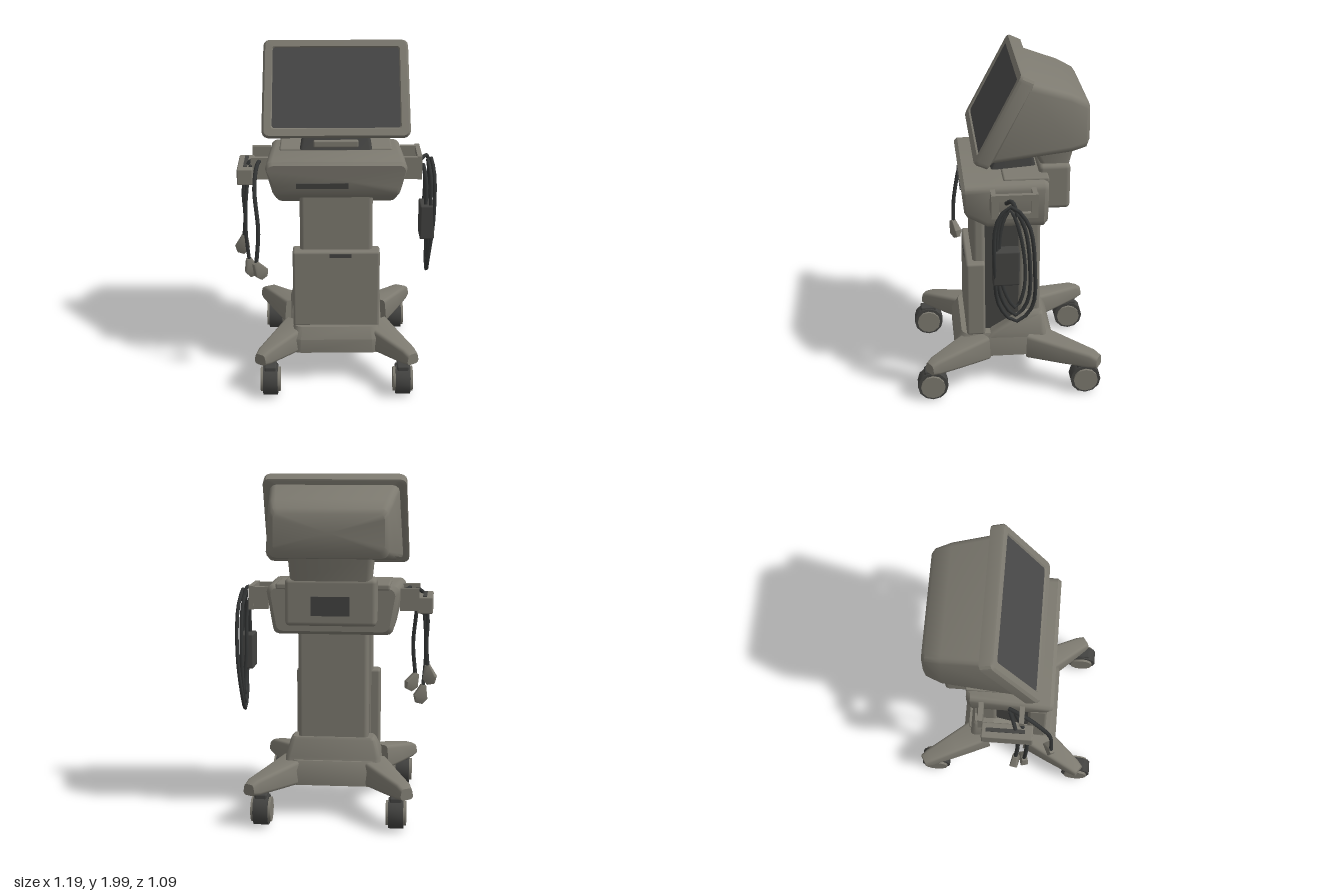
import * as THREE from 'three';
import { toCreasedNormals } from 'three/addons/utils/BufferGeometryUtils.js';
import { RoundedBoxGeometry } from 'three/addons/geometries/RoundedBoxGeometry.js';

const mat = (name, color, side = THREE.FrontSide) => {
  const m = new THREE.MeshStandardMaterial({ color, side });
  m.name = name;
  return m;
};
const shell = mat('warm grey shell', 0x7d7a70);
const glass = mat('screen grey', 0x484848);
const dark = mat('dark plastic', 0x434341);
const rubber = mat('cable rubber', 0x343636);

// Rounded ring: half widths w0, w1 at two edge points (z0, y0) and (z1, y1), corner radius r
function ring([w0, w1, z0, y0, z1, y1, r]) {
  const len = Math.hypot(z1 - z0, y1 - y0), pts = [];
  const corners = [[1, 0, -90], [1, 1, 0], [-1, 1, 90], [-1, 0, 180]];
  for (const [sx, top, start] of corners) {
    for (let k = 0; k <= 3; k++) {
      const a = THREE.MathUtils.degToRad(start + k * 30);
      const t = (top ? len - r : r) / len + (Math.sin(a) * r) / len;
      const x = sx * ((top ? w1 : w0) - r) + Math.cos(a) * r;
      pts.push(new THREE.Vector3(x, y0 + (y1 - y0) * t, z0 + (z1 - z0) * t));
    }
  }
  return pts;
}

// Skin through rings, ordered back to front or bottom to top
function loft(sections, capStart = true, capEnd = true, crease = 0.6) {
  const rings = sections.map(ring), pos = [], n = 16;
  const tri = (...vs) => vs.forEach((v) => pos.push(v.x, v.y, v.z));
  for (let j = 0; j + 1 < rings.length; j++) {
    const A = rings[j], B = rings[j + 1];
    for (let i = 0; i < n; i++) {
      const k = (i + 1) % n;
      tri(A[i], A[k], B[k]);
      tri(A[i], B[k], B[i]);
    }
  }
  const cap = (R, flip) => {
    const c = R.reduce((s, v) => s.add(v), new THREE.Vector3()).divideScalar(n);
    for (let i = 0; i < n; i++) {
      const k = (i + 1) % n;
      if (flip) tri(c, R[k], R[i]); else tri(c, R[i], R[k]);
    }
  };
  if (capStart) cap(rings[0], true);
  if (capEnd) cap(rings[rings.length - 1], false);
  const g = new THREE.BufferGeometry();
  g.setAttribute('position', new THREE.Float32BufferAttribute(pos, 3));
  return toCreasedNormals(g, crease);
}

export function createModel() {
  const model = new THREE.Group();
  model.name = 'medicalCart';
  const add = (name, geo, m, x = 0, y = 0, z = 0) => {
    const mesh = new THREE.Mesh(geo, m);
    mesh.name = name;
    mesh.position.set(x, y, z);
    model.add(mesh);
    return mesh;
  };
  // Box given by its limits
  const box = (name, m, x0, x1, y0, y1, z0, z1, r = 0) => {
    const s = [x1 - x0, y1 - y0, z1 - z0];
    const geo = r ? new RoundedBoxGeometry(...s, 2, r) : new THREE.BoxGeometry(...s);
    return add(name, geo, m, (x0 + x1) / 2, (y0 + y1) / 2, (z0 + z1) / 2);
  };

  // Base plate and the raised collar behind the column
  add('basePlate', loft([
    [0.27, 0.27, 0.31, 0.195, -0.28, 0.195, 0.06],
    [0.27, 0.27, 0.31, 0.28, -0.28, 0.28, 0.06],
    [0.25, 0.25, 0.27, 0.345, -0.25, 0.335, 0.05],
  ]), shell);
  add('rearCollar', loft([
    [0.27, 0.28, 0.12, 0.32, -0.24, 0.32, 0.03],
    [0.27, 0.28, 0.09, 0.35, -0.23, 0.35, 0.03],
    [0.25, 0.25, -0.08, 0.455, -0.22, 0.455, 0.03],
    [0.235, 0.235, -0.09, 0.47, -0.21, 0.47, 0.02],
  ]), shell);

  // Four splayed legs with casters
  for (const s of [-1, 1]) {
    for (const [z0, x1, z1] of [[0.16, 0.435, 0.46], [-0.16, 0.44, -0.515]]) {
      const dx = x1 - 0.23, dz = z1 - z0, L = Math.hypot(dx, dz);
      const leg = add('leg', loft([
        [0.1, 0.09, 0, 0.195, 0, 0.34, 0.02],
        [0.075, 0.065, L * 0.5, 0.195, L * 0.5, 0.31, 0.02],
        [0.05, 0.045, L - 0.03, 0.195, L - 0.03, 0.285, 0.02],
        [0.04, 0.035, L + 0.015, 0.2, L + 0.015, 0.265, 0.02],
      ]), shell, s * 0.23, 0, z0);
      leg.rotation.y = Math.atan2(s * dx, dz);

      const cz = Math.sign(z1) * 0.455, cx = s * 0.385;
      const wheel = (name, r, w, m) => {
        const g = new THREE.CylinderGeometry(r, r, w, 12);
        g.rotateZ(Math.PI / 2);
        add(name, toCreasedNormals(g, 0.6), m, cx, 0.1, cz);
      };
      wheel('casterTyre', 0.09, 0.085, dark);
      wheel('casterHub', 0.072, 0.115, shell);
      box('casterBracket', dark, cx - 0.035, cx + 0.035, 0.13, 0.2, cz - 0.05, cz + 0.05, 0.01);
    }
  }

  // Lifting column: dark core between a front and a rear slab
  box('columnCore', dark, -0.19, 0.19, 0.33, 1.15, -0.1, 0.16);
  box('columnFront', shell, -0.212, 0.212, 0.33, 1.2, 0.125, 0.2, 0.025);
  box('columnRear', shell, -0.205, 0.205, 0.33, 1.15, -0.2, -0.07, 0.025);
  box('frontPanel', shell, -0.255, 0.255, 0.335, 0.81, 0.13, 0.24, 0.015);
  box('panelLatch', dark, -0.04, 0.09, 0.775, 0.797, 0.238, 0.243);

  // Console with its raised deck, rear housing and front slot
  add('console', loft([
    [0.33, 0.36, -0.225, 1.1, -0.225, 1.35, 0.04],
    [0.35, 0.385, -0.2, 1.08, -0.2, 1.365, 0.04],
    [0.355, 0.4, 0.12, 1.085, 0.12, 1.365, 0.04],
    [0.37, 0.405, 0.235, 1.155, 0.25, 1.362, 0.04],
    [0.35, 0.395, 0.25, 1.175, 0.27, 1.345, 0.035],
  ]), shell);
  box('consoleDeck', shell, -0.33, 0.33, 1.34, 1.378, -0.23, 0.03, 0.012);
  const slot = box('frontSlot', dark, -0.23, 0.07, 1.205, 1.238, 0.256, 0.262);
  slot.rotation.x = 0.12;
  box('rearHousing', shell, -0.26, 0.26, 1.15, 1.42, -0.36, -0.18, 0.025);
  box('rearPanel', dark, -0.11, 0.11, 1.21, 1.32, -0.364, -0.357);

  // Monitor neck
  add('neckFoot', loft([
    [0.21, 0.17, 0.09, 1.385, -0.17, 1.385, 0.02],
    [0.19, 0.17, 0.04, 1.51, -0.14, 1.51, 0.02],
  ]), dark);
  box('neckFrontBlock', shell, -0.13, 0.13, 1.4, 1.44, 0.06, 0.095, 0.008);
  add('neckRear', loft([
    [0.23, 0.23, -0.2, 1.4, -0.355, 1.4, 0.03],
    [0.24, 0.24, -0.12, 1.55, -0.39, 1.55, 0.03],
  ]), shell);

  // Monitor: rear shell, tilted bezel and recessed screen
  add('monitorShell', loft([
    [0.31, 0.31, -0.452, 1.58, -0.45, 1.79, 0.03],
    [0.335, 0.33, -0.435, 1.545, -0.43, 1.82, 0.04],
    [0.365, 0.35, -0.35, 1.53, -0.34, 1.865, 0.04],
    [0.39, 0.375, 0.1, 1.485, -0.13, 1.935, 0.04],
  ]), shell);
  add('monitorBezel', loft([
    [0.405, 0.395, 0.115, 1.475, -0.135, 1.955, 0.035],
    [0.425, 0.415, 0.13, 1.468, -0.135, 1.967, 0.035],
    [0.425, 0.415, 0.185, 1.49, -0.075, 1.995, 0.035],
    [0.413, 0.403, 0.198, 1.502, -0.06, 1.997, 0.03],
    [0.372, 0.367, 0.179, 1.538, -0.041, 1.965, 0.015],
    [0.365, 0.36, 0.166, 1.54, -0.048, 1.955, 0.015],
  ], true, false, 0.5), shell);
  add('screen', loft([[0.368, 0.363, 0.17, 1.536, -0.05, 1.963, 0.015]], false, true), glass);

  // Side brackets: open handle on the left, cable rail on the right
  for (const s of [-1, 1]) {
    for (const z of [-0.135, 0.097]) {
      box('bracketArm', shell, s * 0.44 - 0.055, s * 0.44 + 0.055, 1.215, 1.345, z - 0.014, z + 0.014);
    }
  }
  for (const [y0, y1] of [[1.21, 1.24], [1.315, 1.35]]) {
    box('handleRail', shell, 0.473, 0.5, y0, y1, -0.15, 0.11);
  }
  for (const z of [-0.135, 0.085]) box('handlePost', shell, 0.473, 0.5, 1.21, 1.35, z - 0.015, z + 0.025);
  box('cableRail', shell, -0.573, -0.482, 1.195, 1.292, -0.125, 0.165, 0.008);
  box('railInset', dark, -0.538, -0.515, 1.29, 1.296, -0.1, 0.12);

  const tube = (name, pts, r, m, closed = false) => {
    const curve = new THREE.CatmullRomCurve3(pts.map((p) => new THREE.Vector3(...p)), closed);
    add(name, new THREE.TubeGeometry(curve, 28, r, 6, closed), m);
  };

  // Coiled hose on the handle, with its control box
  for (const [x, top, bottom, zf, zb] of [
    [0.575, 1.31, 0.59, 0.1, -0.125],
    [0.555, 1.3, 0.63, 0.085, -0.1],
    [0.53, 1.27, 0.68, 0.07, -0.075],
  ]) {
    const xb = 0.55;
    tube('coiledHose', [
      [x - 0.015, top, 0.01], [x, top - 0.08, zf - 0.015], [x, 0.95, zf],
      [xb, bottom + 0.1, zf - 0.03], [xb, bottom, -0.02],
      [xb, bottom + 0.08, zb + 0.015], [x, 0.92, zb], [x, top - 0.1, zb + 0.04],
    ], 0.011, rubber, true);
  }
  tube('hoseLead', [[0.49, 1.3, 0.03], [0.53, 1.325, 0], [0.56, 1.25, -0.03]], 0.012, rubber);
  box('hoseControlBox', dark, 0.495, 0.58, 0.835, 1.045, -0.04, 0.11, 0.01);

  // Hanging sensor cables, each ending in a flared plug
  const cables = [
    { path: [[-0.4, 1.31, 0.02], [-0.45, 1.32, 0.12], [-0.47, 1.2, 0.21], [-0.45, 0.95, 0.27], [-0.465, 0.75, 0.28]], tilt: 0.5 },
    { path: [[-0.42, 1.3, 0.03], [-0.5, 1.31, 0.06], [-0.54, 1.15, 0.08], [-0.535, 0.98, 0.08], [-0.545, 0.84, 0.07]], tilt: -0.2 },
    { path: [[-0.42, 1.28, 0.06], [-0.49, 1.3, 0.1], [-0.52, 1.15, 0.13], [-0.53, 0.9, 0.13], [-0.515, 0.71, 0.12]], tilt: 0.25 },
  ];
  for (const { path, tilt } of cables) {
    tube('sensorCable', path, 0.012, rubber);
    const [x, y, z] = path[path.length - 1];
    const plug = add('sensorPlug', loft([
      [0.022, 0.022, 0.014, -0.1, -0.014, -0.1, 0.005],
      [0.042, 0.042, 0.024, -0.06, -0.024, -0.06, 0.008],
      [0.016, 0.016, 0.014, 0.015, -0.014, 0.015, 0.005],
    ]), shell, x, y, z);
    plug.rotation.set(0, tilt, tilt);
  }
  return model;
}
